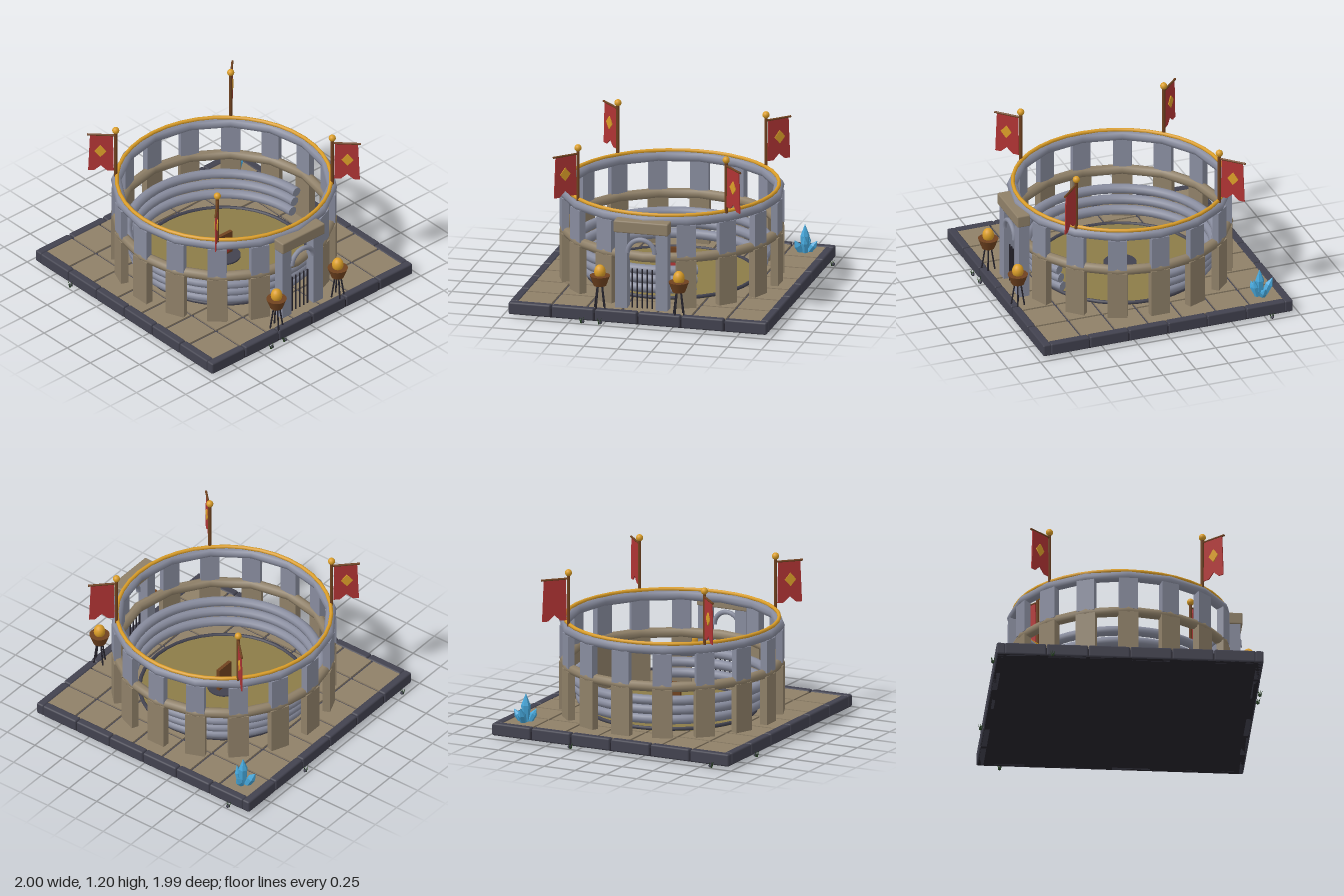
import * as THREE from 'three';
import { RoundedBoxGeometry } from 'three/addons/geometries/RoundedBoxGeometry.js';

const mat = (name, color, side = THREE.FrontSide) => {
  const m = new THREE.MeshStandardMaterial({ color, side });
  m.name = name;
  return m;
};

const M = {
  tan: mat('sandstone', 0x8f8068),
  grey: mat('grey stone', 0x888c9e),
  dark: mat('dark stone', 0x42424f),
  black: mat('iron', 0x25232c),
  gold: mat('gold', 0xdb9e28),
  sand: mat('sand', 0x8c7c48),
  red: mat('red cloth', 0xb03434, THREE.DoubleSide),
  wood: mat('wood', 0x70421f),
  blue: mat('crystal blue', 0x45a5d8),
  green: mat('grass green', 0x24401f, THREE.DoubleSide),
};

function add(parent, name, geo, material, x = 0, y = 0, z = 0) {
  const mesh = new THREE.Mesh(geo, material);
  mesh.name = name;
  mesh.position.set(x, y, z);
  parent.add(mesh);
  return mesh;
}

function group(parent, name, x = 0, y = 0, z = 0) {
  const g = new THREE.Group();
  g.name = name;
  g.position.set(x, y, z);
  parent.add(g);
  return g;
}

// Thin rod between two points
function rod(parent, name, a, b, r, material) {
  const p = new THREE.Vector3(...a), q = new THREE.Vector3(...b);
  const d = q.clone().sub(p);
  const m = add(parent, name, new THREE.CylinderGeometry(r, r, d.length(), 8), material);
  m.position.copy(p).add(q).multiplyScalar(0.5);
  m.quaternion.setFromUnitVectors(new THREE.Vector3(0, 1, 0), d.normalize());
  return m;
}

// Torus lying flat, arc running clockwise seen from above
function ring(parent, name, r, tube, y, material, sides = 8, segs = 32, arc = Math.PI * 2) {
  const geo = new THREE.TorusGeometry(r, tube, sides, segs, arc);
  geo.rotateX(-Math.PI / 2);
  return add(parent, name, geo, material, 0, y, 0);
}

// Paved square base
function buildBase(root) {
  const base = group(root, 'base');
  add(base, 'underside', new THREE.BoxGeometry(1.9, 0.06, 1.9), M.black, 0, 0.045, 0);
  add(base, 'tileJoints', new THREE.BoxGeometry(1.82, 0.02, 1.82), M.dark, 0, 0.075, 0);
  const tile = new THREE.BoxGeometry(0.242, 0.03, 0.242);
  for (let i = -3; i <= 3; i++)
    for (let j = -3; j <= 3; j++) add(base, 'floorTile', tile, M.tan, i * 0.26, 0.083, j * 0.26);
  const longBlock = new RoundedBoxGeometry(0.312, 0.09, 0.062, 1, 0.012);
  const sideBlock = new RoundedBoxGeometry(0.062, 0.09, 0.297, 1, 0.012);
  for (const s of [-1, 1])
    for (let i = 0; i < 6; i++) {
      add(base, 'borderBlock', longBlock, M.dark, (i - 2.5) * 0.321, 0.06, s * 0.929);
      add(base, 'borderBlock', sideBlock, M.dark, s * 0.929, 0.06, (i - 2.5) * 0.301);
    }
}

// Arena floor, practice target and seating tiers
function buildArena(root) {
  const arena = group(root, 'arena');
  add(arena, 'sandFloor', new THREE.CylinderGeometry(0.6, 0.6, 0.02, 48), M.sand, 0, 0.105, 0);
  ring(arena, 'floorRim', 0.605, 0.014, 0.115, M.dark, 8, 40);
  add(arena, 'centreDisc', new THREE.CylinderGeometry(0.12, 0.12, 0.03, 32), M.dark, 0, 0.112, 0);
  add(arena, 'targetBoard', new THREE.BoxGeometry(0.14, 0.18, 0.025), M.wood, 0, 0.215, 0);
  const disc = add(arena, 'targetDisc', new THREE.CylinderGeometry(0.055, 0.055, 0.02, 20), M.red, 0, 0.21, 0.02);
  disc.rotation.x = Math.PI / 2;
  for (let i = 0; i < 3; i++) {
    const arc = Math.PI * 5 / 3;
    const r = 0.655 + i * 0.02, y = 0.2 + i * 0.075;
    ring(arena, 'seatTier', r, 0.036, y, M.grey, 10, 48, arc);
    for (const a of [0, arc]) {
      const cap = add(arena, 'seatTierEnd', new THREE.CircleGeometry(0.036, 10), M.grey,
        r * Math.cos(a), y, -r * Math.sin(a));
      cap.rotation.y = a === 0 ? 0 : a + Math.PI;
    }
  }
}

// Ring wall of pillars with two bands and a gold rail
function buildWall(root) {
  const wall = group(root, 'wall');
  const lower = new THREE.BoxGeometry(0.145, 0.36, 0.055);
  const upper = new THREE.BoxGeometry(0.135, 0.24, 0.05);
  for (let i = 1; i < 16; i++) {
    const a = i * Math.PI / 8;
    const pillar = group(wall, 'pillar', Math.sin(a) * 0.778, 0, Math.cos(a) * 0.778);
    pillar.rotation.y = a;
    add(pillar, 'lowerPillar', lower, M.tan, 0, 0.275, 0);
    add(pillar, 'upperPillar', upper, M.grey, 0, 0.6, 0);
  }
  ring(wall, 'middleBand', 0.775, 0.038, 0.468, M.tan, 8, 16);
  ring(wall, 'topBand', 0.775, 0.038, 0.744, M.grey, 8, 16);
  ring(wall, 'goldRail', 0.77, 0.014, 0.788, M.gold, 8, 40);
}

// Front gate with arch and iron bars
function buildGate(root) {
  const gate = group(root, 'gate');
  for (const s of [-1, 1])
    add(gate, 'gatePost', new THREE.BoxGeometry(0.09, 0.575, 0.08), M.grey, s * 0.15, 0.385, 0.812);
  add(gate, 'lintel', new RoundedBoxGeometry(0.405, 0.09, 0.1, 1, 0.01), M.tan, 0, 0.71, 0.817);
  add(gate, 'arch', new THREE.TorusGeometry(0.1, 0.018, 8, 20, Math.PI), M.grey, 0, 0.52, 0.85);
  for (let i = -2; i <= 2; i++)
    rod(gate, 'gateBar', [i * 0.037, 0.095, 0.82], [i * 0.037, 0.39, 0.82], 0.006, M.black);
}

// Pole with a swallow-tailed banner hung on an outward arm
function buildBanner(root, sx, sz) {
  const b = group(root, 'banner', sx * 0.55, 0, sz * 0.55);
  b.rotation.y = -Math.atan2(sz, sx);
  rod(b, 'bannerPole', [0, 0.74, 0], [0, 1.17, 0], 0.012, M.wood);
  add(b, 'poleBall', new THREE.SphereGeometry(0.026, 16, 12), M.gold, 0, 1.175, 0);
  rod(b, 'bannerArm', [-0.01, 1.132, 0], [0.205, 1.132, 0], 0.008, M.wood);
  const cloth = new THREE.Shape();
  [[0.02, 1.128], [0.185, 1.128], [0.198, 0.825], [0.155, 0.825], [0.107, 0.868], [0.06, 0.825], [0.014, 0.825]]
    .forEach(([x, y], i) => (i ? cloth.lineTo(x, y) : cloth.moveTo(x, y)));
  add(b, 'bannerCloth', new THREE.ExtrudeGeometry(cloth, { depth: 0.008, bevelEnabled: false }), M.red, 0, 0, -0.004);
  const emblem = new THREE.CylinderGeometry(0.05, 0.05, 0.008, 4);
  emblem.rotateX(Math.PI / 2);
  emblem.scale(0.85, 1, 1);
  for (const side of sx > 0 ? [1] : [1, -1]) add(b, 'bannerDiamond', emblem, M.gold, 0.11, 0.995, side * 0.007);
}

// Fire bowl on slender legs
function buildBrazier(root, x) {
  const b = group(root, 'brazier', x, 0, 0.9);
  add(b, 'bowl', new THREE.CylinderGeometry(0.074, 0.046, 0.075, 16), M.wood, 0, 0.308, 0);
  const flame = add(b, 'flame', new THREE.SphereGeometry(0.042, 16, 12), M.gold, 0, 0.373, 0);
  flame.scale.y = 1.25;
  for (let i = 0; i < 4; i++) {
    const c = Math.cos(i * Math.PI / 2 + 0.4), s = Math.sin(i * Math.PI / 2 + 0.4);
    rod(b, 'brazierLeg', [c * 0.02, 0.28, s * 0.02], [c * 0.048, 0.095, s * 0.048], 0.006, M.black);
  }
}

// Cluster of pointed six-sided crystals
function buildCrystals(root) {
  const cluster = group(root, 'crystals', 0.78, 0.085, -0.78);
  const crystals = [[0, 0.01, 0.22, 0.034, 0, 0], [0.02, 0, 0.12, 0.026, 0.085, 0.0],
    [-0.02, 0.02, 0.12, 0.026, -0.05, 0.04], [0, -0.02, 0.15, 0.03, -0.01, -0.085], [0.01, 0.03, 0.15, 0.025, 0, 0.03]];
  for (const [x, z, h, r, dx, dz] of crystals) {
    const profile = [[0, 0], [r * 0.75, 0], [r, h * 0.6], [0, h]].map(p => new THREE.Vector2(...p));
    const geo = new THREE.LatheGeometry(profile, 6).toNonIndexed();
    geo.computeVertexNormals();
    const c = add(cluster, 'crystal', geo, M.blue, x, 0, z);
    c.quaternion.setFromUnitVectors(new THREE.Vector3(0, 1, 0), new THREE.Vector3(dx, h, dz).normalize());
  }
}

// Grass tufts and pebbles around the foot of the base
function buildTuft(root, x, z) {
  const t = group(root, 'grassTuft', x, 0, z);
  for (let i = 0; i < 4; i++) {
    const a = i * 1.7 + x * 5;
    const blade = add(t, 'grassBlade', new THREE.ConeGeometry(0.005, 0.05, 4), M.green,
      Math.cos(a) * 0.012, 0.025, Math.sin(a) * 0.012);
    blade.rotation.set(Math.sin(a) * 0.3, 0, -Math.cos(a) * 0.3);
  }
  add(t, 'pebble', new THREE.IcosahedronGeometry(0.014, 0), M.dark, 0.01, 0.013, 0);
}

export function createModel() {
  const root = new THREE.Group();
  root.name = 'arenaModel';
  buildBase(root);
  buildArena(root);
  buildWall(root);
  buildGate(root);
  for (const sx of [-1, 1]) {
    for (const sz of [-1, 1]) buildBanner(root, sx, sz);
    buildBrazier(root, sx * 0.293);
  }
  buildCrystals(root);
  for (const [x, z] of [[-0.83, -0.978], [0.31, -0.978], [0.976, -0.79], [-0.978, -0.56], [-0.41, 0.975], [-0.28, 0.97]])
    buildTuft(root, x, z);
  return root;
}
